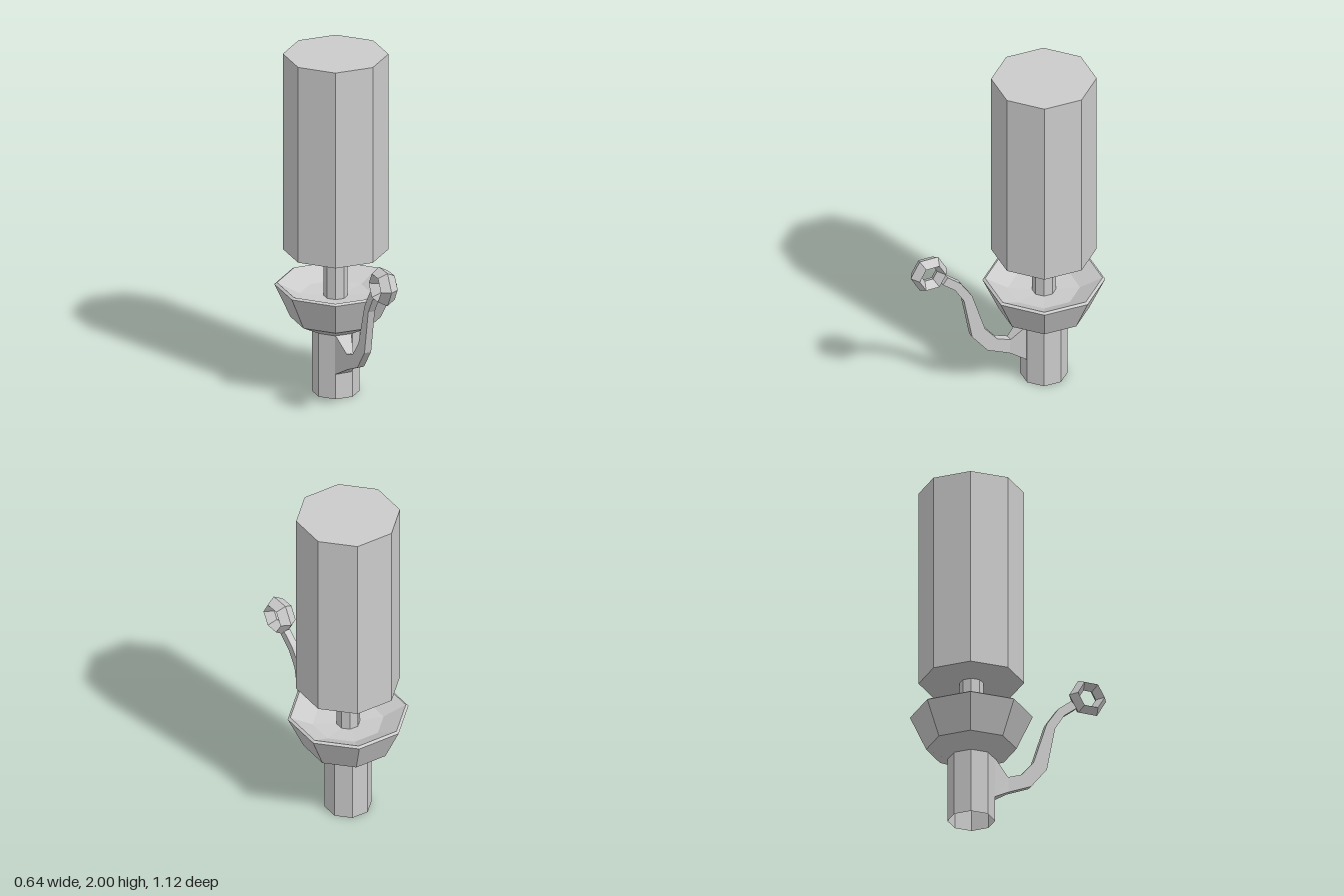
import * as THREE from 'three';

const AXIS_Z = -0.24;

function material(side = THREE.FrontSide) {
  return new THREE.MeshStandardMaterial({ color: 0xcccccc, flatShading: true, side });
}

// Eight-sided turned part from [radius, height] pairs, listed bottom to top
function turned(name, profile, side) {
  const points = profile.map(([r, y]) => new THREE.Vector2(r, y));
  const geometry = new THREE.LatheGeometry(points, 8, THREE.MathUtils.degToRad(20));
  const mesh = new THREE.Mesh(geometry, material(side));
  mesh.name = name;
  mesh.position.z = AXIS_Z;
  return mesh;
}

// Rectangular bar lofted through sections: [upper z, upper y, lower z, lower y, half width]
function loftedBar(sections) {
  const positions = [];
  const index = [];
  for (const [uz, uy, lz, ly, w] of sections) {
    positions.push(-w, uy, uz, w, uy, uz, w, ly, lz, -w, ly, lz);
  }
  for (let i = 0; i < sections.length - 1; i++) {
    for (let j = 0; j < 4; j++) {
      const k = (j + 1) % 4;
      const a = i * 4 + j, b = i * 4 + k;
      index.push(a, b, a + 4, b, b + 4, a + 4);
    }
  }
  const last = (sections.length - 1) * 4;
  index.push(0, 2, 1, 0, 3, 2, last, last + 1, last + 2, last, last + 2, last + 3);
  const geometry = new THREE.BufferGeometry();
  geometry.setAttribute('position', new THREE.Float32BufferAttribute(positions, 3));
  geometry.setIndex(index);
  geometry.computeVertexNormals();
  return geometry;
}

export function createModel() {
  const model = new THREE.Group();
  model.name = 'candleHolder';

  // Candle with closed ends, on a thin spindle
  model.add(turned('candle', [[0, 0.84], [0.292, 0.84], [0.292, 2], [0, 2]]));
  model.add(turned('spindle', [[0.066, 0.54], [0.066, 0.845]]));

  // Drip bowl: outer wall, bevelled rim, shallow inside
  model.add(turned('dripBowl', [
    [0.13, 0.375], [0.25, 0.438], [0.34, 0.632], [0.325, 0.642], [0.2, 0.578], [0, 0.56],
  ]));

  // Hollow stem, open at the bottom
  model.add(turned('stem', [[0.132, 0], [0.132, 0.376]], THREE.DoubleSide));

  // Curved handle, flared where it meets the stem
  const handle = new THREE.Mesh(loftedBar([
    [0.355, 0.835, 0.385, 0.795, 0.02],
    [0.275, 0.77, 0.31, 0.735, 0.02],
    [0.205, 0.665, 0.255, 0.645, 0.02],
    [0.125, 0.415, 0.205, 0.385, 0.02],
    [0.05, 0.325, 0.11, 0.265, 0.02],
    [-0.03, 0.295, -0.025, 0.205, 0.02],
    [-0.125, 0.385, -0.125, 0.145, 0.05],
  ]), material());
  handle.name = 'handle';
  handle.position.x = -0.009;
  model.add(handle);

  // Six-sided finger ring with a diamond section
  const ringGeometry = new THREE.TorusGeometry(0.081, 0.031, 4, 6);
  ringGeometry.scale(1, 1, 1.65);
  ringGeometry.rotateY(Math.PI / 2);
  const ring = new THREE.Mesh(ringGeometry, material());
  ring.name = 'fingerRing';
  ring.position.set(-0.028, 0.868, 0.452);
  model.add(ring);

  return model;
}
